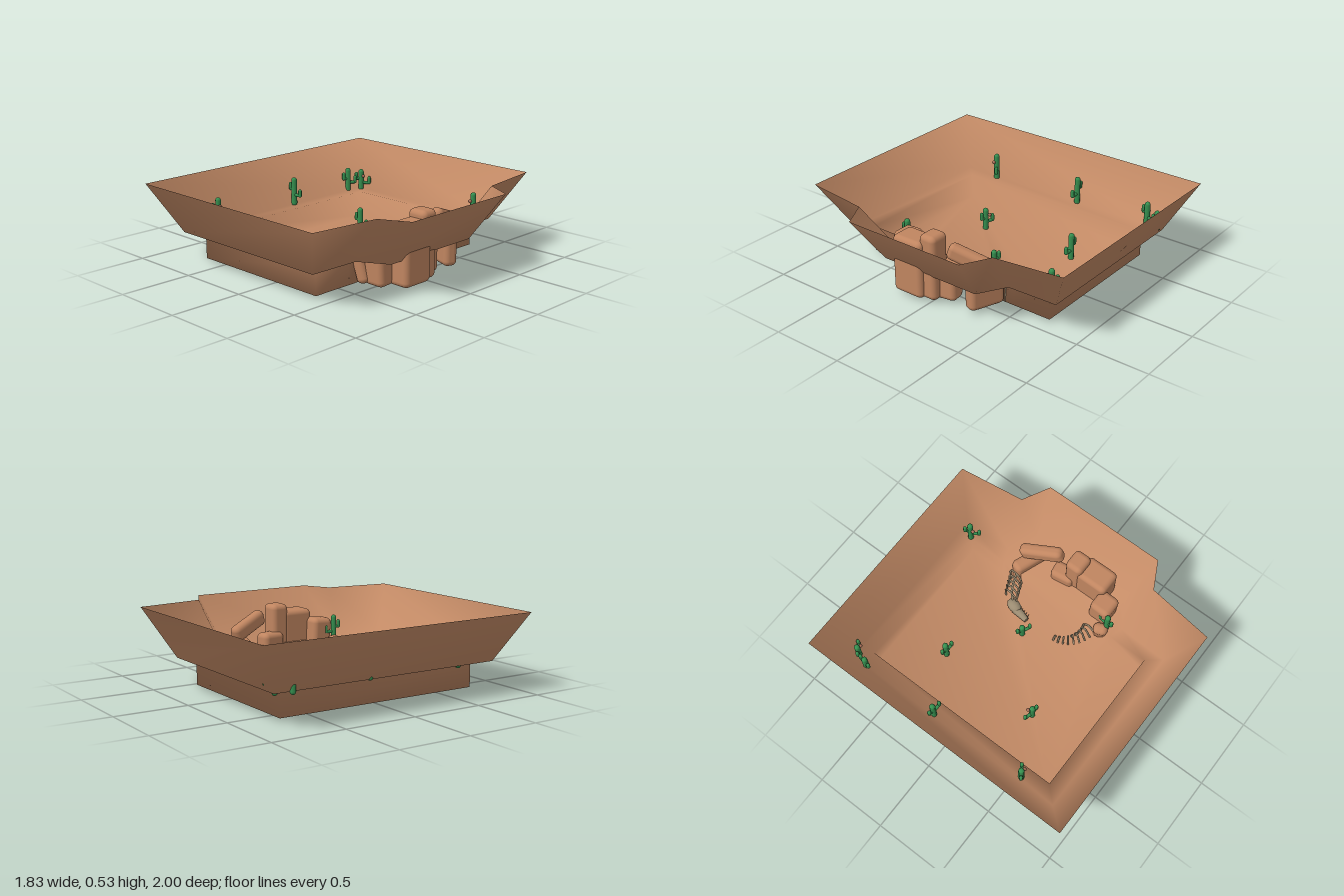
import * as THREE from 'three';
import { RoundedBoxGeometry } from 'three/addons/geometries/RoundedBoxGeometry.js';

const mat = (name, color, side = THREE.FrontSide) =>
  Object.assign(new THREE.MeshStandardMaterial({ color, side }), { name });

export function createModel() {
  const model = new THREE.Group();
  const sand = mat('sand', 0xc48b66, THREE.DoubleSide);
  const stone = mat('stone', 0xc08560);
  const green = mat('cactus green', 0x369150);
  const bone = mat('bone', 0x9c8c72);
  const bud = mat('cactus bud', 0xa8705a);

  const add = (parent, name, geometry, material, x = 0, y = 0, z = 0) => {
    const m = new THREE.Mesh(geometry, material);
    m.name = name;
    m.position.set(x, y, z);
    parent.add(m);
    return m;
  };
  const tube = (parent, name, points, radius, material) =>
    add(parent, name, new THREE.TubeGeometry(
      new THREE.CatmullRomCurve3(points.map(p => new THREE.Vector3(...p))), 8, radius, 6), material);

  // Terrain: rings from the rim down the slope, across the ledge and into the pit.
  // Each half ring is mirrored in z.
  const ring = (y, half) => [...half, ...half.slice().reverse().map(([x, z]) => [x, -z])]
    .map(([x, z]) => [x, y, z]);
  const pit = [[-0.65, 0.73], [0.4, 0.73], [0.4, 0.45], [0.4, 0.36]];
  const rings = [
    ring(0.53, [[-0.92, 1], [0.66, 1], [0.72, 0.54], [0.91, 0.44]]),
    ring(0.2, [[-0.75, 0.83], [0.48, 0.83], [0.49, 0.48], [0.68, 0.37]]),
    ring(0.2, pit),
    ring(0.02, pit),
  ];
  const n = 8, index = [];
  for (let r = 0; r < 3; r++) {
    for (let i = 0; i < n; i++) {
      const a = r * n + i, b = r * n + (i + 1) % n;
      index.push(a, b, a + n, b, b + n, a + n);
    }
  }
  for (let i = 1; i < n - 1; i++) index.push(3 * n, 3 * n + i, 3 * n + i + 1);
  const ground = new THREE.BufferGeometry();
  ground.setAttribute('position', new THREE.Float32BufferAttribute(rings.flat(2), 3));
  ground.setIndex(index);
  ground.computeVertexNormals();
  add(model, 'canyonBasin', ground, sand);

  // Rocks: x, z, width, depth, bottom, top, turn about y, lean about z, lean about x
  const rocks = new THREE.Group();
  rocks.name = 'rocks';
  model.add(rocks);
  [
    [0.632, 0.155, 0.175, 0.235, 0.02, 0.42, 0, 0, 0],
    [0.615, 0.015, 0.145, 0.125, 0.02, 0.47, 0, 0, 0],
    [0.52, 0.3, 0.155, 0.15, 0.02, 0.36, 0, 0, 0.05],
    [0.42, 0.36, 0.08, 0.1, 0.02, 0.24, 0.4, 0.25, 0],
    [0.57, -0.06, 0.12, 0.17, 0.02, 0.28, 0.15, 0, 0],
    [0.51, -0.31, 0.25, 0.095, 0.02, 0.27, -0.35, 0, 0],
    [0.56, -0.245, 0.085, 0.31, 0.29, 0.4, 0.36, 0, -0.33],
  ].forEach(([x, z, w, d, y0, y1, turn, leanZ, leanX]) => {
    const m = add(rocks, 'rock', new RoundedBoxGeometry(w, y1 - y0, d, 3, 0.035),
      stone, x, (y0 + y1) / 2, z);
    m.rotation.set(leanX, turn, leanZ, 'YXZ');
  });

  // Skeleton curled on the pit floor
  const skeleton = new THREE.Group();
  skeleton.name = 'skeleton';
  model.add(skeleton);
  const skull = add(skeleton, 'skull', new THREE.SphereGeometry(1, 10, 8), bone, 0.23, 0.06, -0.23);
  skull.scale.set(0.042, 0.04, 0.06);
  skull.rotation.y = -0.2;
  const snout = add(skeleton, 'snout', new THREE.CylinderGeometry(0.02, 0.036, 0.11, 8), bone, 0.21, 0.05, -0.155);
  snout.rotation.set(Math.PI / 2, 0, 0.2);
  for (let i = 0; i < 4; i++) {
    add(skeleton, 'tooth', new THREE.ConeGeometry(0.006, 0.03, 5), bone, 0.235 + i * 0.003, 0.035, -0.115 - i * 0.02)
      .rotation.z = -1.2;
  }

  // Front rib cage: arched ribs side by side
  for (let i = 0; i < 5; i++) {
    const x = 0.265 + i * 0.03, z = -0.285 - i * 0.012, h = 0.15 + i * 0.012;
    tube(skeleton, 'rib', [[x - 0.01, 0.02, z + 0.04], [x - 0.005, h * 0.75, z + 0.05],
      [x, h, z], [x + 0.01, h * 0.8, z - 0.05], [x + 0.01, 0.02, z - 0.05]], 0.007, bone);
  }
  tube(skeleton, 'spine', [[0.25, 0.08, -0.26], [0.29, 0.15, -0.295], [0.4, 0.19, -0.335]], 0.009, bone);

  // Rear ribs fan out around the curl and shrink towards the tail tip
  for (let i = 0; i < 11; i++) {
    const t = i / 10, a = 3.0 - t * 1.75;
    const x = 0.4 + Math.cos(a) * 0.185, z = 0.1 + Math.sin(a) * 0.185;
    const len = 0.018 + t * 0.04, h = 0.045 + t * 0.12;
    const dx = Math.cos(a) * len, dz = Math.sin(a) * len;
    tube(skeleton, 'tailRib', [[x - dx, 0.02, z - dz], [x - dx * 0.8, h * 0.8, z - dz * 0.8],
      [x, h, z], [x + dx, h * 0.6, z + dz]], 0.007, bone);
  }

  // Cacti: x, z, base, height, arm direction, whether a bud grows on the arm
  const cactus = ([x, z, y, h, turn, hasBud]) => {
    const g = new THREE.Group();
    g.name = 'cactus';
    g.position.set(x, y, z);
    g.rotation.y = turn;
    const r = 0.02;
    add(g, 'trunk', new THREE.CapsuleGeometry(r, h - 2 * r, 4, 8), green, 0, h / 2, 0);
    [[1, 0.06, 0.4], [-1, 0.036, 0.58]].forEach(([s, reach, level]) => {
      const ly = h * level;
      const arm = add(g, 'arm', new THREE.CapsuleGeometry(0.012, reach, 3, 8), green, s * reach / 2, ly, 0);
      arm.rotation.z = Math.PI / 2;
      add(g, 'armTip', new THREE.CapsuleGeometry(0.013, 0.035, 3, 8), green, s * reach, ly + 0.018, 0);
    });
    if (hasBud) add(g, 'bud', new THREE.SphereGeometry(0.013, 8, 6), bud, 0.02, h * 0.72, 0.02);
    model.add(g);
  };
  [
    [-0.755, -0.705, 0.18, 0.19, 1.3, false],
    [-0.715, -0.805, 0.18, 0.17, 0.7, true],
    [0.41, -0.745, 0.18, 0.21, -1.0, true],
    [-0.32, -0.39, 0.0, 0.21, 0, false],
    [-0.74, -0.145, 0.19, 0.21, 0, false],
    [0.11, -0.07, 0.01, 0.15, -0.4, false],
    [-0.31, 0.335, 0.0, 0.18, 2.9, true],
    [-0.725, 0.56, 0.18, 0.21, 0.6, true],
    [0.44, 0.39, 0.18, 0.2, 1.4, true],
  ].forEach(cactus);

  return model;
}
